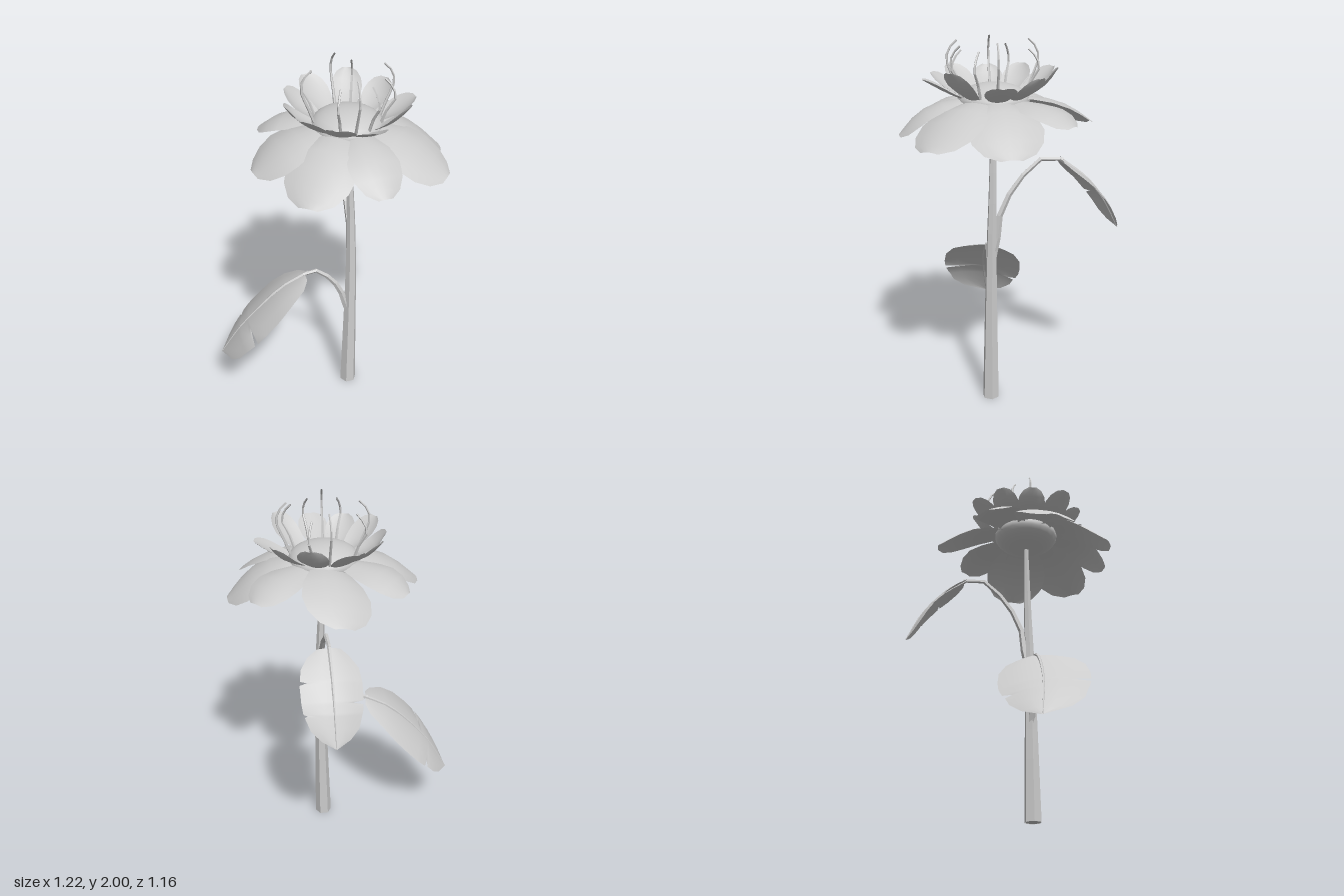
import * as THREE from 'three';

const V = (x, y, z) => new THREE.Vector3(x, y, z);
const rad = THREE.MathUtils.degToRad;
const grey = (opts = {}) => new THREE.MeshStandardMaterial({ color: 0xcccccc, ...opts });
const thinMat = grey({ side: THREE.DoubleSide });
const facetMat = grey({ flatShading: true, side: THREE.DoubleSide });
const smoothMat = grey();

function named(geometry, material, name) {
  const mesh = new THREE.Mesh(geometry, material);
  mesh.name = name;
  return mesh;
}

// Tube along a curve whose radius eases from r0 to r1
function taperedTube(points, r0, r1, segments, sides) {
  const curve = new THREE.CatmullRomCurve3(points, false, 'centripetal');
  const geo = new THREE.TubeGeometry(curve, segments, 1, sides);
  const pos = geo.attributes.position, v = V(0, 0, 0);
  for (let i = 0; i <= segments; i++) {
    const centre = curve.getPointAt(i / segments);
    const r = r0 + (r1 - r0) * (i / segments);
    for (let j = 0; j <= sides; j++) {
      const k = i * (sides + 1) + j;
      v.fromBufferAttribute(pos, k).sub(centre).multiplyScalar(r).add(centre);
      pos.setXYZ(k, v.x, v.y, v.z);
    }
  }
  geo.computeVertexNormals();
  return geo;
}

// Thin curved blade: rows are [t, half-width on +side, half-width on -side].
// bend > 0 lets the edges droop, bend < 0 cups them upwards.
function blade(points, rows, side, bend, cols = 6) {
  const curve = new THREE.CatmullRomCurve3(points);
  const verts = [], index = [];
  for (const [t, wPlus, wMinus] of rows) {
    const p = curve.getPointAt(t);
    const normal = curve.getTangentAt(t).cross(side).normalize();
    if (normal.y < 0) normal.negate();
    for (let j = 0; j <= cols; j++) {
      const s = (j / cols) * 2 - 1;
      const w = s > 0 ? wPlus : wMinus;
      const q = p.clone().addScaledVector(side, s * w).addScaledVector(normal, -bend * w * s * s);
      verts.push(q.x, q.y, q.z);
    }
  }
  for (let i = 0; i < rows.length - 1; i++) {
    for (let j = 0; j < cols; j++) {
      const a = i * (cols + 1) + j, b = a + cols + 1;
      index.push(a, a + 1, b, a + 1, b + 1, b);
    }
  }
  const geo = new THREE.BufferGeometry();
  geo.setAttribute('position', new THREE.Float32BufferAttribute(verts, 3));
  geo.setIndex(index);
  geo.computeVertexNormals();
  return geo;
}

// Rounded petal pointing along +x, rolled about its length, then turned around the flower
const petalOutline = [[0, 0.35], [0.2, 0.62], [0.4, 0.88], [0.6, 1], [0.78, 0.92], [0.92, 0.66], [1, 0.28]];
function petal(name, points, halfWidth, bend, degrees, roll = 0) {
  const rows = petalOutline.map(([t, w]) => [t, w * halfWidth, w * halfWidth]);
  const side = V(0, Math.sin(rad(roll)), Math.cos(rad(roll)));
  const mesh = named(blade(points, rows, side, bend), thinMat, name);
  mesh.rotation.y = -rad(degrees);
  return mesh;
}

function leaf(name, stalk, midline, rows, side, bend) {
  const group = new THREE.Group();
  group.name = name;
  group.add(
    named(taperedTube(stalk, 0.021, 0.01, 6, 5), facetMat, name + 'Stalk'),
    named(blade(midline, rows, side.normalize(), bend), thinMat, name + 'Blade'),
    named(taperedTube(midline, 0.011, 0.003, 10, 5), facetMat, name + 'Midrib'),
  );
  return group;
}

export function createModel() {
  const model = new THREE.Group();

  // Stem with a closed foot
  const stemPath = [V(0.125, 0, 0.125), V(0.13, 0.85, 0.117), V(0.125, 1.2, 0.107), V(0.1, 1.65, 0.095)];
  model.add(named(taperedTube(stemPath, 0.047, 0.013, 10, 6), facetMat, 'stem'));
  const foot = named(new THREE.CircleGeometry(0.043, 6), facetMat, 'stemFoot');
  foot.rotation.x = Math.PI / 2;
  foot.position.set(0.125, 0.001, 0.125);
  model.add(foot);

  // Lower leaf, reaching to the model's right; its front edge is rolled up, with two tears
  model.add(leaf('lowerLeaf',
    [V(0.12, 0.52, 0.12), V(0.1, 0.58, 0.12), V(0.05, 0.72, 0.115), V(-0.07, 0.84, 0.105), V(-0.14, 0.825, 0.1)],
    [V(-0.11, 0.835, 0.1), V(-0.25, 0.765, 0.09), V(-0.38, 0.65, 0.08), V(-0.505, 0.505, 0.06), V(-0.61, 0.33, 0.03)],
    [[0.03, 0.06, 0.05], [0.08, 0.125, 0.11], [0.2, 0.185, 0.17], [0.35, 0.225, 0.215], [0.5, 0.235, 0.225],
      [0.6, 0.233, 0.22], [0.617, 0.11, 0.218], [0.635, 0.23, 0.215], [0.7, 0.22, 0.2], [0.72, 0.215, 0.15],
      [0.74, 0.21, 0.185], [0.83, 0.195, 0.16], [0.92, 0.135, 0.1], [1, 0.004, 0.004]],
    V(-0.14, 0.14, 0.98), 0.17));

  // Upper leaf, reaching backwards
  model.add(leaf('upperLeaf',
    [V(0.13, 0.84, 0.112), V(0.13, 0.92, 0.09), V(0.13, 1.09, 0.07), V(0.127, 1.265, -0.025),
      V(0.123, 1.39, -0.17), V(0.122, 1.375, -0.27)],
    [V(0.122, 1.38, -0.25), V(0.125, 1.265, -0.4), V(0.128, 1.14, -0.5), V(0.13, 0.98, -0.58)],
    [[0.03, 0.06, 0.06], [0.1, 0.11, 0.1], [0.22, 0.148, 0.145], [0.34, 0.157, 0.155], [0.36, 0.125, 0.156],
      [0.38, 0.16, 0.157], [0.55, 0.157, 0.158], [0.57, 0.156, 0.1], [0.59, 0.155, 0.155], [0.66, 0.15, 0.15],
      [0.675, 0.13, 0.148], [0.69, 0.145, 0.145], [0.82, 0.12, 0.125], [0.92, 0.072, 0.077], [1, 0.003, 0.003]],
    V(0.99, 0.09, -0.09), 0.17));

  // Flower head
  const flower = new THREE.Group();
  flower.name = 'flowerHead';
  flower.position.set(0.1, 0, 0.095);
  model.add(flower);

  const heart = named(new THREE.SphereGeometry(0.185, 20, 14), smoothMat, 'flowerCentre');
  heart.scale.y = 0.48;
  heart.position.y = 1.695;
  flower.add(heart);

  // Outer petals: [angle, reach, half-width, tip height, roll]
  const outer = [[-94, 0.525, 0.172, 1.56, 11], [-41, 0.49, 0.132, 1.62, 0], [0, 0.505, 0.185, 1.51, 0],
    [44, 0.535, 0.178, 1.535, -4], [87, 0.485, 0.13, 1.54, 0], [129, 0.525, 0.175, 1.51, 0],
    [172.5, 0.505, 0.175, 1.54, 0], [218, 0.48, 0.132, 1.605, 0]];
  for (const [deg, reach, w, tip, roll] of outer) {
    const mid = 1.65 + (tip - 1.54) * 0.45;
    const spine = [V(0.08, 1.705, 0), V(0.22, 1.705, 0), V(0.37, mid, 0), V(reach, tip, 0)];
    flower.add(petal('outerPetal', spine, w, 0.2, deg, roll));
  }

  // Inner petals: [angle, reach, tip height]
  const inner = [[-110, 0.355, 1.84], [-72, 0.325, 1.86], [-35, 0.325, 1.835], [2, 0.35, 1.805], [48, 0.335, 1.865],
    [85, 0.36, 1.81], [117, 0.335, 1.82], [148, 0.35, 1.84], [183, 0.32, 1.83], [217, 0.33, 1.84]];
  for (const [deg, reach, tip] of inner) {
    const rise = tip - 1.7;
    const spine = [V(0.13, 1.695, 0), V(0.2, 1.7 + rise * 0.2, 0), V(0.27, 1.7 + rise * 0.52, 0), V(reach, tip, 0)];
    flower.add(petal('innerPetal', spine, 0.079, -0.22, deg));
  }

  // Stamens, hooked inwards at the tip: [angle, top height]
  const stamens = [[-93, 1.995], [-66, 1.955], [3, 1.995], [32, 1.955], [70, 1.955], [95, 1.995],
    [120, 1.955], [183, 1.995], [210, 1.955]];
  for (const [deg, top] of stamens) {
    const path = [V(0.165, 1.72, 0), V(0.2, 1.81, 0), V(0.232, top - 0.1, 0), V(0.222, top - 0.045, 0), V(0.18, top, 0)];
    const stamen = named(taperedTube(path, 0.008, 0.005, 7, 5), facetMat, 'stamen');
    stamen.rotation.y = -rad(deg);
    flower.add(stamen);
  }
  return model;
}
